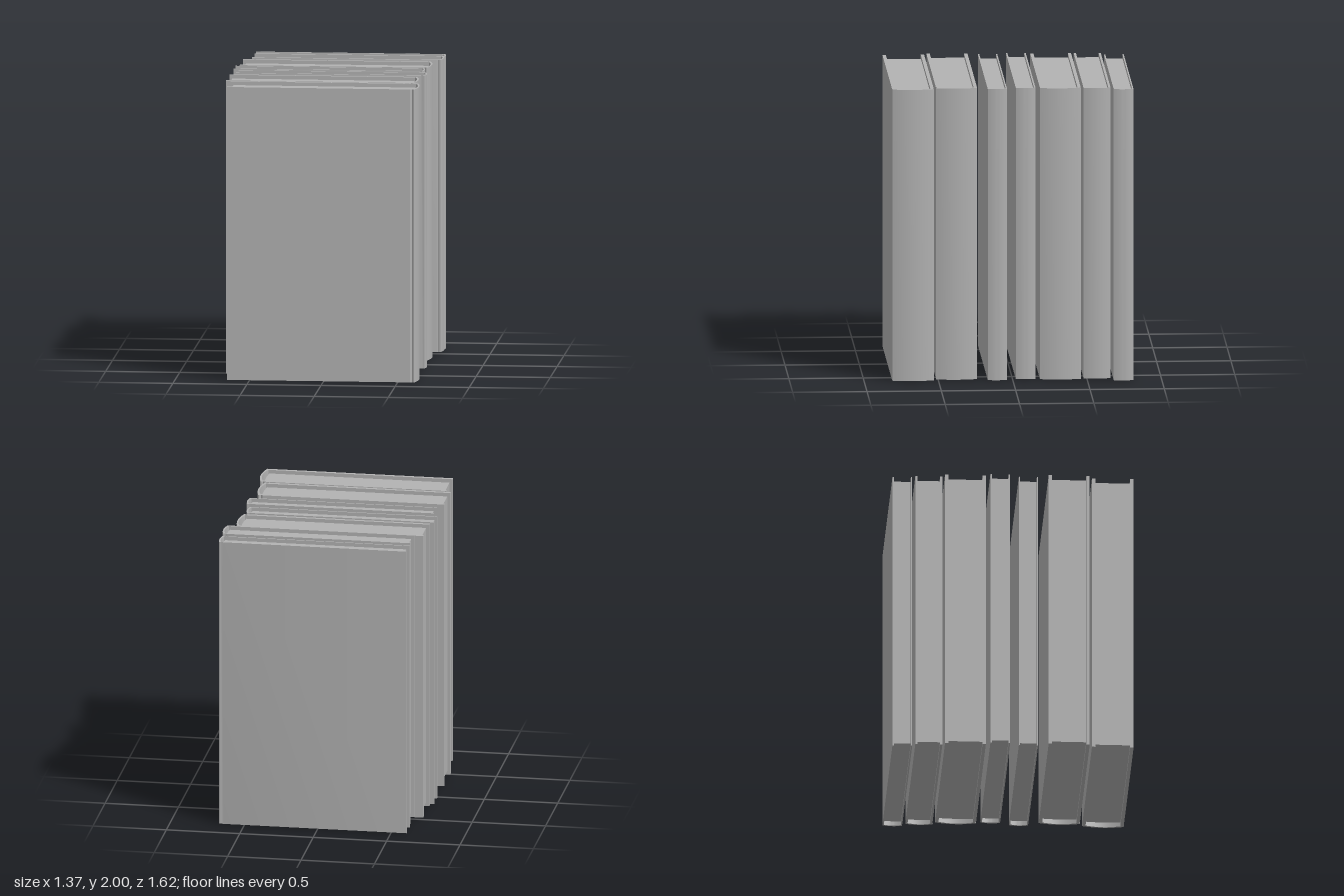
import * as THREE from 'three';
import { toCreasedNormals } from 'three/addons/utils/BufferGeometryUtils.js';

// Points on a shallow bulging curve from -half to +half
function bulge(x, half, depth, n = 14) {
  return Array.from({ length: n + 1 }, (_, i) => {
    const t = (i / n) * 2 - 1;
    return new THREE.Vector2(x + depth * (1 - t * t), t * half);
  });
}

// Extrude a plan outline (x, -z) upward along y
function extrudeUp(points, height) {
  const geo = new THREE.ExtrudeGeometry(new THREE.Shape(points), { depth: height, bevelEnabled: false });
  geo.rotateX(-Math.PI / 2);
  return toCreasedNormals(geo, 0.5);
}

// One hardback: case (two boards and rounded spine) plus page block
function makeBook({ z0, z1, fore, pageFore, spine, board, y0 = 0, y1 = 1.99 }, material) {
  const half = (z1 - z0) / 2;
  const inner = half - board;
  const arch = Math.min(0.022, half * 0.16);
  const edge = spine - arch;
  const v = (x, y) => new THREE.Vector2(x, y);
  const book = new THREE.Group();

  // Case: C-shaped outline with a slight hinge groove beside the spine
  const groove = half - board * 0.3;
  const outline = [
    v(fore, -half), v(edge - 0.028, -half), v(edge - 0.016, -groove), v(edge - 0.006, -half),
    ...bulge(edge, half, arch),
    v(edge - 0.006, half), v(edge - 0.016, groove), v(edge - 0.028, half), v(fore, half),
    v(fore, inner),
    ...bulge(edge - 0.011, inner, arch).reverse(),
    v(fore, -inner),
  ];
  const cover = new THREE.Mesh(extrudeUp(outline, y1 - y0), material);
  cover.name = 'cover';
  cover.position.y = y0;

  // Page block, set back from the top, bottom and fore edges
  const recess = 0.025;
  const pageOutline = [v(pageFore, -inner), ...bulge(edge - 0.018, inner, arch * 0.35), v(pageFore, inner)];
  const pages = new THREE.Mesh(extrudeUp(pageOutline, y1 - y0 - 2 * recess), material);
  pages.name = 'pages';
  pages.position.y = y0 + recess;

  book.add(cover, pages);
  book.position.z = (z0 + z1) / 2;
  return book;
}

export function createModel() {
  const group = new THREE.Group();
  group.name = 'bookRow';
  const grey = new THREE.MeshStandardMaterial({ color: 0xb3b3b3 });
  grey.name = 'plain grey';

  // Books from back to front
  const books = [
    { z0: -0.81, z1: -0.677, fore: -0.605, pageFore: -0.583, spine: 0.681, board: 0.009 },
    { z0: -0.656, z1: -0.474, fore: -0.603, pageFore: -0.583, spine: 0.684, board: 0.015, y0: 0.015, y1: 2 },
    { z0: -0.459, z1: -0.184, fore: -0.66, pageFore: -0.638, spine: 0.627, board: 0.022 },
    { z0: -0.155, z1: -0.022, fore: -0.684, pageFore: -0.665, spine: 0.601, board: 0.01 },
    { z0: 0.038, z1: 0.168, fore: -0.651, pageFore: -0.629, spine: 0.632, board: 0.009 },
    { z0: 0.237, z1: 0.513, fore: -0.687, pageFore: -0.667, spine: 0.6, board: 0.023 },
    { z0: 0.53, z1: 0.81, fore: -0.653, pageFore: -0.633, spine: 0.633, board: 0.023 },
  ];
  books.forEach((spec, i) => {
    const book = makeBook(spec, grey);
    book.name = `book${i + 1}`;
    group.add(book);
  });
  return group;
}
